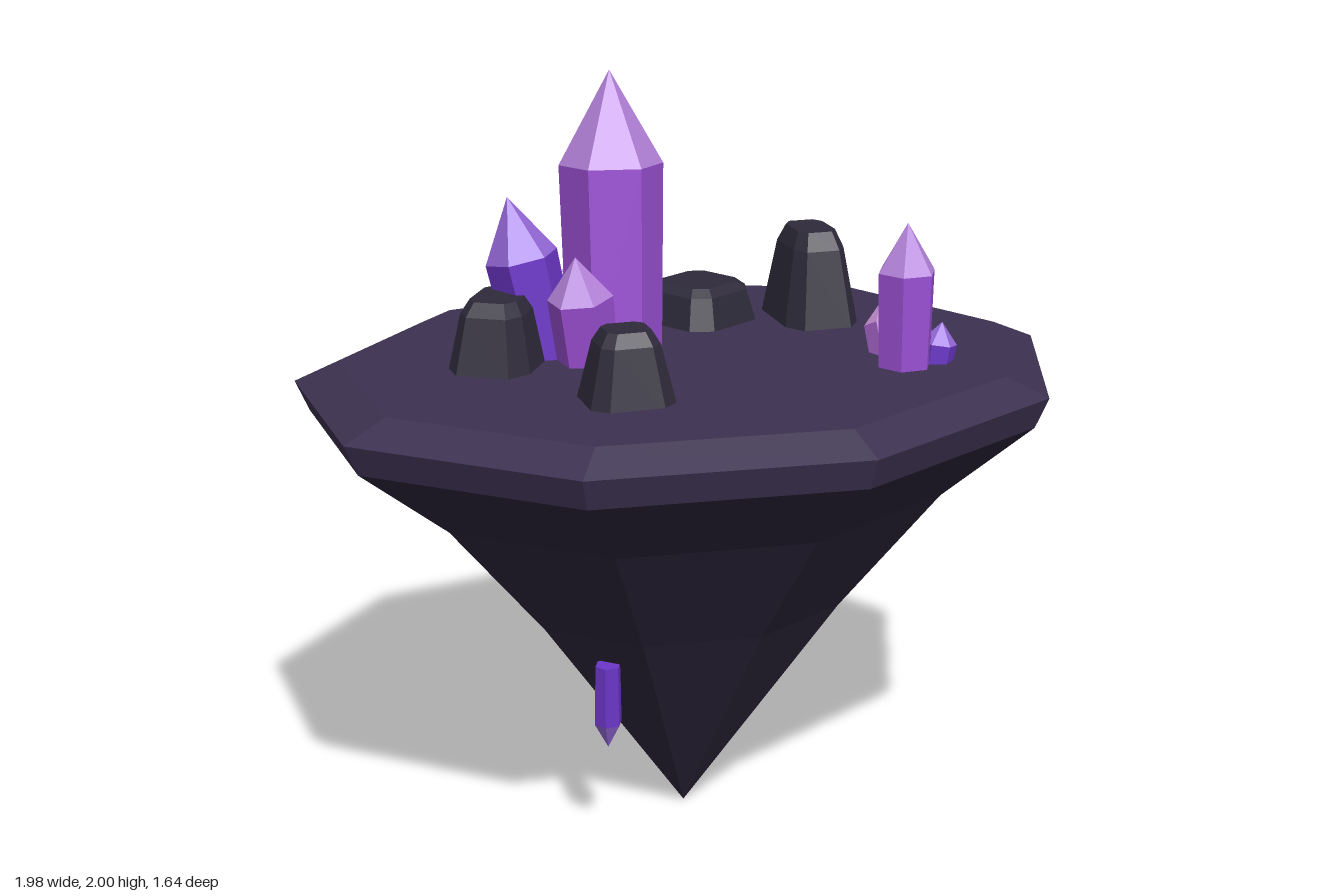
import * as THREE from 'three';

const mat = (name, color) => {
  const m = new THREE.MeshStandardMaterial({ color });
  m.name = name;
  return m;
};

// Gives every face its own flat normal
function facet(geometry) {
  const g = geometry.toNonIndexed();
  g.computeVertexNormals();
  return g;
}

function mesh(name, geometry, material) {
  const m = new THREE.Mesh(facet(geometry), material);
  m.name = name;
  return m;
}

const lathe = (points, sides, start) =>
  new THREE.LatheGeometry(points.map(([r, y]) => new THREE.Vector2(r, y)), sides, start);

// Hexagonal prism with a pointed end, running from base to apex
function crystal(name, base, apex, r, tipHeight, twist, [bodyMat, tipMat]) {
  const from = new THREE.Vector3(...base);
  const dir = new THREE.Vector3(...apex).sub(from);
  const bodyHeight = dir.length() - tipHeight;
  const body = new THREE.CylinderGeometry(r, r * 0.92, bodyHeight, 6);
  body.rotateY(twist).translate(0, bodyHeight / 2, 0);
  const tip = new THREE.ConeGeometry(r, tipHeight, 6);
  tip.rotateY(twist).translate(0, bodyHeight + tipHeight / 2, 0);
  const group = new THREE.Group();
  group.name = name;
  group.add(mesh(name + 'Body', body, bodyMat), mesh(name + 'Tip', tip, tipMat));
  group.position.copy(from);
  group.quaternion.setFromUnitVectors(new THREE.Vector3(0, 1, 0), dir.normalize());
  return group;
}

// Tapered block with chamfered corners and a bevelled top
function rock(name, x, z, width, depth, height, turn, taper, material) {
  const g = lathe([[1, 0], [taper + 0.06, height * 0.82], [taper - 0.12, height], [0, height]], 8, Math.PI / 8);
  const p = g.attributes.position;
  const square = (v, r) => Math.sign(v) * r * (Math.abs(v) > r * 0.6 ? 1 : 0.64);
  for (let i = 0; i < p.count; i++) {
    const r = Math.hypot(p.getX(i), p.getZ(i));
    p.setX(i, square(p.getX(i), r) * width / 2);
    p.setZ(i, square(p.getZ(i), r) * depth / 2);
  }
  const m = mesh(name, g, material);
  m.position.set(x, 1.27, z);
  m.rotation.y = turn;
  return m;
}

export function createModel() {
  const model = new THREE.Group();
  model.name = 'floatingCrystalIsland';

  const ground = mat('duskGround', 0x3c3150);
  const stone = mat('darkUnderside', 0x2c253a);
  const boulder = mat('boulderGrey', 0x2e2a3a);
  const violet = [mat('violet', 0x9b50d4), mat('paleViolet', 0xb483da)];
  const indigo = [mat('indigo', 0x6c36c8), mat('paleIndigo', 0x9468d8)];
  const pink = [mat('orchid', 0xa565c8), mat('paleOrchid', 0xc890d4)];

  // Nine-sided island: bevelled slab over a tapering underside
  const island = new THREE.Group();
  island.name = 'island';
  island.add(
    mesh('islandTop', lathe([[0.965, 1.15], [1, 1.23], [0.885, 1.28], [0, 1.28]], 9, Math.PI / 2), ground),
    mesh('islandUnderside', lathe([[0, 0], [0.445, 0.62], [0.72, 0.95], [0.965, 1.15]], 9, Math.PI / 2), stone)
  );
  island.scale.set(1.02, 1, 0.835);
  island.position.x = -0.035;
  model.add(island);

  // Main cluster
  model.add(
    crystal('tallCrystal', [-0.18, 1.25, -0.12], [-0.17, 2, -0.17], 0.135, 0.24, 0.28, violet),
    crystal('leaningCrystal', [-0.36, 1.25, -0.14], [-0.445, 1.69, -0.18], 0.095, 0.16, 0.4, indigo),
    crystal('frontCrystal', [-0.28, 1.25, -0.03], [-0.32, 1.56, -0.01], 0.085, 0.11, 0.1, violet),
    crystal('backCrystal', [-0.17, 1.23, -0.31], [-0.17, 1.49, -0.39], 0.1, 0.1, 0.2, indigo),
    crystal('innerCrystal', [-0.19, 1.25, -0.23], [-0.19, 1.57, -0.3], 0.08, 0.11, 0.5, pink)
  );

  // Small cluster
  model.add(
    crystal('sideCrystal', [0.46, 1.25, 0.29], [0.46, 1.65, 0.29], 0.077, 0.125, 0.5, violet),
    crystal('sideShard', [0.55, 1.25, 0.28], [0.57, 1.38, 0.28], 0.048, 0.055, 0.2, indigo),
    crystal('sideBud', [0.47, 1.25, 0.18], [0.475, 1.395, 0.105], 0.05, 0.055, 0.3, pink)
  );

  // Crystals hanging from the underside
  model.add(
    crystal('hangingFrontCrystal', [-0.32, 0.535, 0.21], [-0.32, 0.3, 0.205], 0.037, 0.07, 0.5, indigo),
    crystal('hangingSideCrystal', [0.29, 0.59, -0.125], [0.295, 0.375, -0.125], 0.045, 0.09, 0, violet),
    crystal('hangingBackCrystal', [0.01, 0.69, -0.355], [0.01, 0.58, -0.375], 0.028, 0.05, 0.2, pink)
  );

  // Boulders
  model.add(
    rock('leftBoulder', -0.49, -0.11, 0.22, 0.32, 0.185, -0.6, 0.68, boulder),
    rock('backBoulder', 0.135, -0.33, 0.27, 0.27, 0.115, 0.48, 0.76, boulder),
    rock('rightBoulder', 0.425, -0.24, 0.21, 0.31, 0.26, -0.06, 0.62, boulder),
    rock('frontBoulder', -0.3, 0.32, 0.22, 0.2, 0.19, -0.05, 0.62, boulder)
  );
  return model;
}
